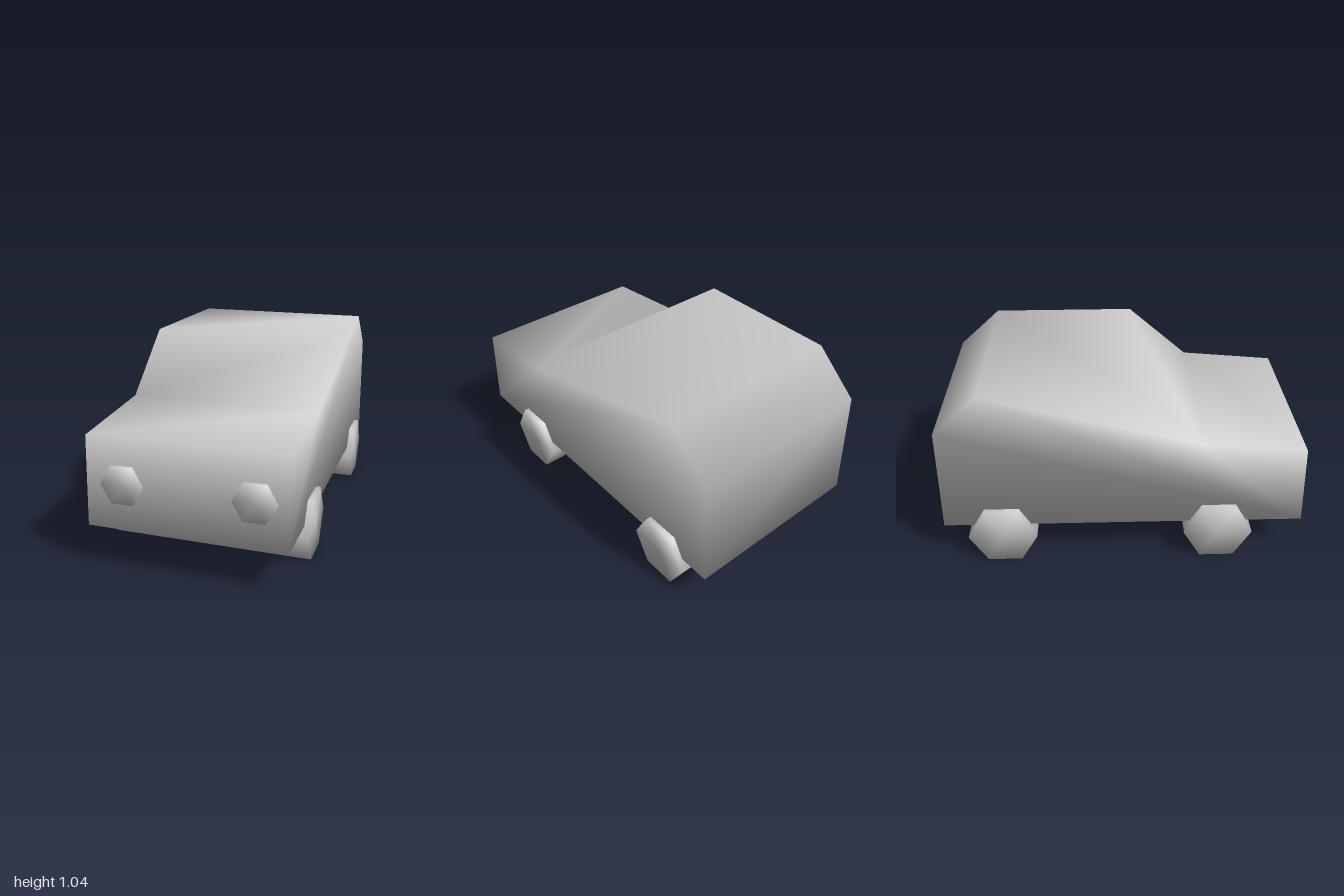
import * as THREE from 'three';
import { mergeVertices } from 'three/addons/utils/BufferGeometryUtils.js';

// Weld all corners so that the low-poly forms shade softly
function soften(geometry) {
  geometry.deleteAttribute('uv');
  geometry.deleteAttribute('normal');
  const welded = mergeVertices(geometry, 1e-4);
  welded.computeVertexNormals();
  return welded;
}

export function createModel() {
  const car = new THREE.Group();
  car.name = 'car';
  const grey = new THREE.MeshStandardMaterial({ color: 0xcccccc });
  grey.name = 'light grey';

  const add = (name, geometry, x, y, z) => {
    const mesh = new THREE.Mesh(soften(geometry), grey);
    mesh.name = name;
    mesh.position.set(x, y, z);
    car.add(mesh);
  };

  // Body: side profile (z, y) extruded across the width
  const profile = [
    [0.997, 0.217], [0.97, 0.686], [0.42, 0.737], [0.07, 1.045],
    [-0.74, 1.045], [-0.98, 0.83], [-1, 0.222],
  ].map(([z, y]) => new THREE.Vector2(z, y));
  const body = new THREE.ExtrudeGeometry(new THREE.Shape(profile), {
    depth: 1.035, bevelEnabled: false,
  });
  body.rotateY(-Math.PI / 2);
  add('body', body, 0.525, 0, 0);

  // Wheels: each pair is one six-sided roller across the car
  for (const [name, z] of [['frontWheels', 0.525], ['rearWheels', -0.675]]) {
    const roller = new THREE.CylinderGeometry(0.19, 0.19, 1.104, 6);
    roller.rotateZ(Math.PI / 2);
    add(name, roller, -0.002, 0.1655, z);
  }

  // Headlights: six-sided plugs set into the nose
  for (const [name, x] of [['rightHeadlight', -0.317], ['leftHeadlight', 0.36]]) {
    const lamp = new THREE.CylinderGeometry(0.112, 0.112, 0.1, 6);
    lamp.rotateY(Math.PI / 2).rotateX(Math.PI / 2);
    add(name, lamp, x, 0.451, 0.95);
  }

  return car;
}
